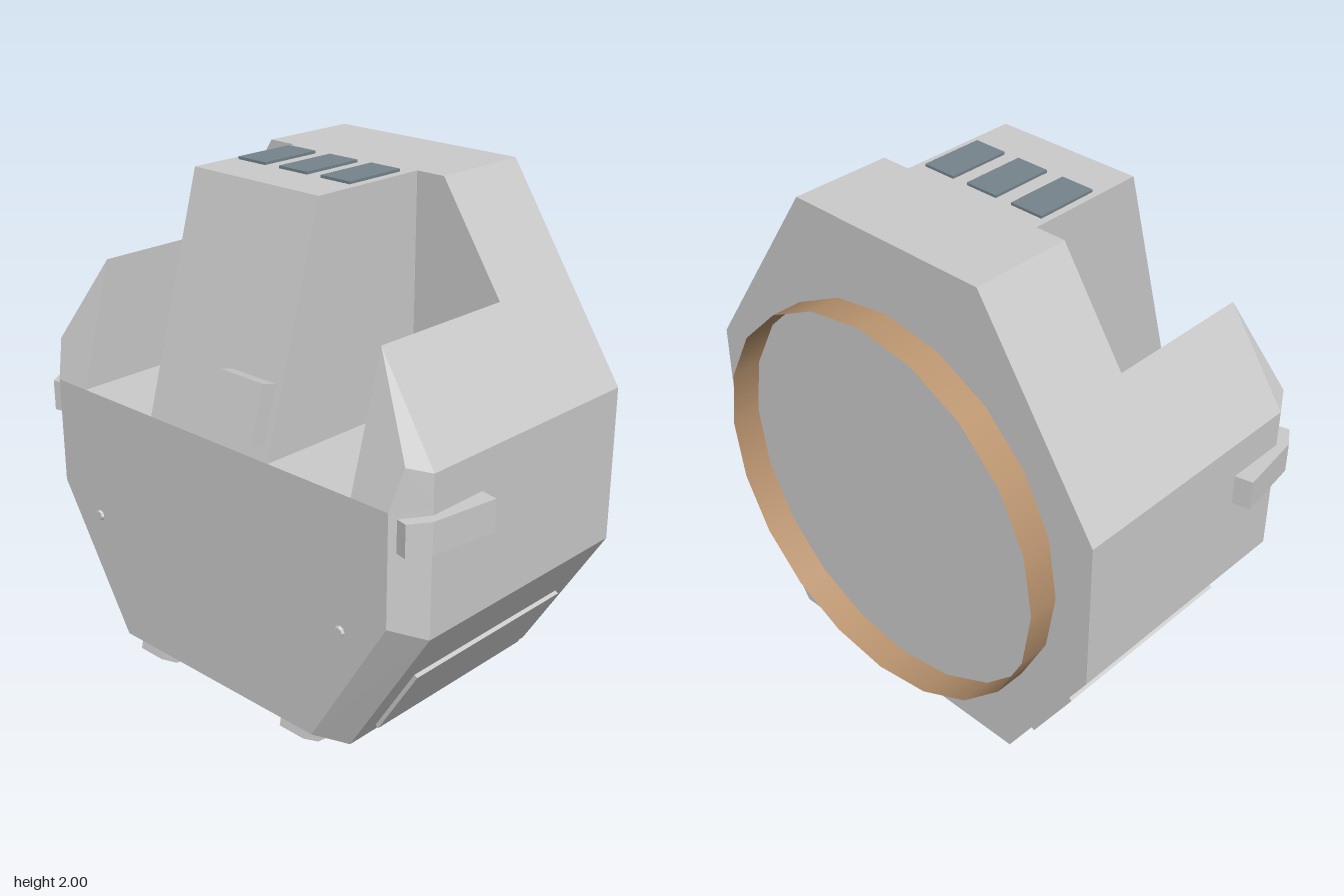
import * as THREE from 'three';
import { ConvexGeometry } from 'three/addons/geometries/ConvexGeometry.js';

const grey = new THREE.MeshStandardMaterial({ color: 0xcccccc, flatShading: true });
const glass = new THREE.MeshStandardMaterial({ color: 0x76848d, flatShading: true });
const brown = new THREE.MeshStandardMaterial({ color: 0xba946f, side: THREE.DoubleSide });

export function createModel() {
  const model = new THREE.Group();
  const add = (name, geometry, material = grey) => {
    const mesh = new THREE.Mesh(geometry, material);
    mesh.name = name;
    model.add(mesh);
    return mesh;
  };
  const hull = (name, points) =>
    add(name, new ConvexGeometry(points.map((p) => new THREE.Vector3(...p))));
  const bothSides = (points) => points.flatMap(([x, y, z]) => [[x, y, z], [-x, y, z]]);
  const atDepths = (outline, depths) => depths.flatMap((z) => outline.map(([x, y]) => [x, y, z]));

  const back = -0.53, notchBack = -0.13, rim = 0.485, front = 0.61, notchFloor = 1.12;

  // Octagonal rear body
  const octagonHalf = [[0.42, 1.99], [0.92, 1.24], [0.92, 0.64], [0.57, 0.07]];
  hull('rearBody', bothSides(atDepths(octagonHalf, [back, notchBack])));

  // Lower front with bevelled rim; its top is the floor of the notches
  hull('lowerFrontBody', bothSides([
    ...atDepths([[0.92, notchFloor], [0.92, 0.64], [0.57, 0.07]], [notchBack, rim]),
    [0.84, notchFloor, front], [0.84, 0.7, front], [0.5, 0.14, front],
  ]));

  // Sloping spine between the notches
  hull('centreSpine', bothSides([
    [0.3, notchFloor, notchBack], [0.3, notchFloor, front],
    [0.3, 1.99, notchBack], [0.3, 1.99, 0.36],
  ]));

  // Shoulders outside the notches
  for (const s of [1, -1]) {
    hull(s > 0 ? 'leftShoulder' : 'rightShoulder', [
      ...atDepths([[0.68, notchFloor]], [notchBack, front]),
      ...atDepths([[0.92, notchFloor], [0.92, 1.24]], [notchBack, rim]),
      [0.84, notchFloor, front], [0.87, 1.27, 0.567],
      [0.68, 1.6, notchBack], [0.68, 1.6, 0.473],
    ].map(([x, y, z]) => [s * x, y, z]));
  }

  // Open ring on the back
  const ring = new THREE.CylinderGeometry(0.773, 0.773, 0.12, 20, 1, true);
  add('backRing', ring.rotateX(Math.PI / 2).translate(0, 0.938, back - 0.06), brown);

  // Windows on top
  for (const x of [-0.205, 0, 0.2]) {
    add('topWindow', new THREE.BoxGeometry(0.135, 0.02, 0.255).translate(x, 1.99, 0.05), glass);
  }

  // Tilted block on the front slope
  const block = add('frontBlock', new THREE.BoxGeometry(0.21, 0.214, 0.1));
  block.position.set(0.165, 1.279, 0.577);
  block.rotation.x = -0.28;

  // Hooked clips on the sides and underneath: outward distance against z
  const clipShape = new THREE.Shape([
    [-0.01, 0.235], [0.068, 0.25], [0.03, 0.52], [-0.02, 0.595], [-0.065, 0.585], [-0.05, 0.45],
  ].map((p) => new THREE.Vector2(...p)));
  const clip = (name, x, y, angle) => add(name,
    new THREE.ExtrudeGeometry(clipShape, { depth: 0.12, bevelEnabled: false })
      .translate(0, 0, -0.06).rotateX(Math.PI / 2).rotateZ(angle).translate(x, y, 0));

  for (const s of [1, -1]) {
    clip('sideClip', s * 0.92, 1.035, s > 0 ? 0 : Math.PI);
    clip('bottomClip', s * 0.385, 0.069, -Math.PI / 2);

    // Raised panel on the lower slanted side
    const panel = add('lowerPanel', new THREE.BoxGeometry(0.03, 0.335, 0.82));
    panel.position.set(s * 0.684, 0.255, -0.03);
    panel.rotation.z = -s * Math.atan2(0.35, 0.57);

    // Small stud on the front face
    const stud = new THREE.CylinderGeometry(0.018, 0.026, 0.02, 8);
    add('frontStud', stud.rotateX(Math.PI / 2).translate(s * 0.635, 0.612, front));
  }

  return model;
}
